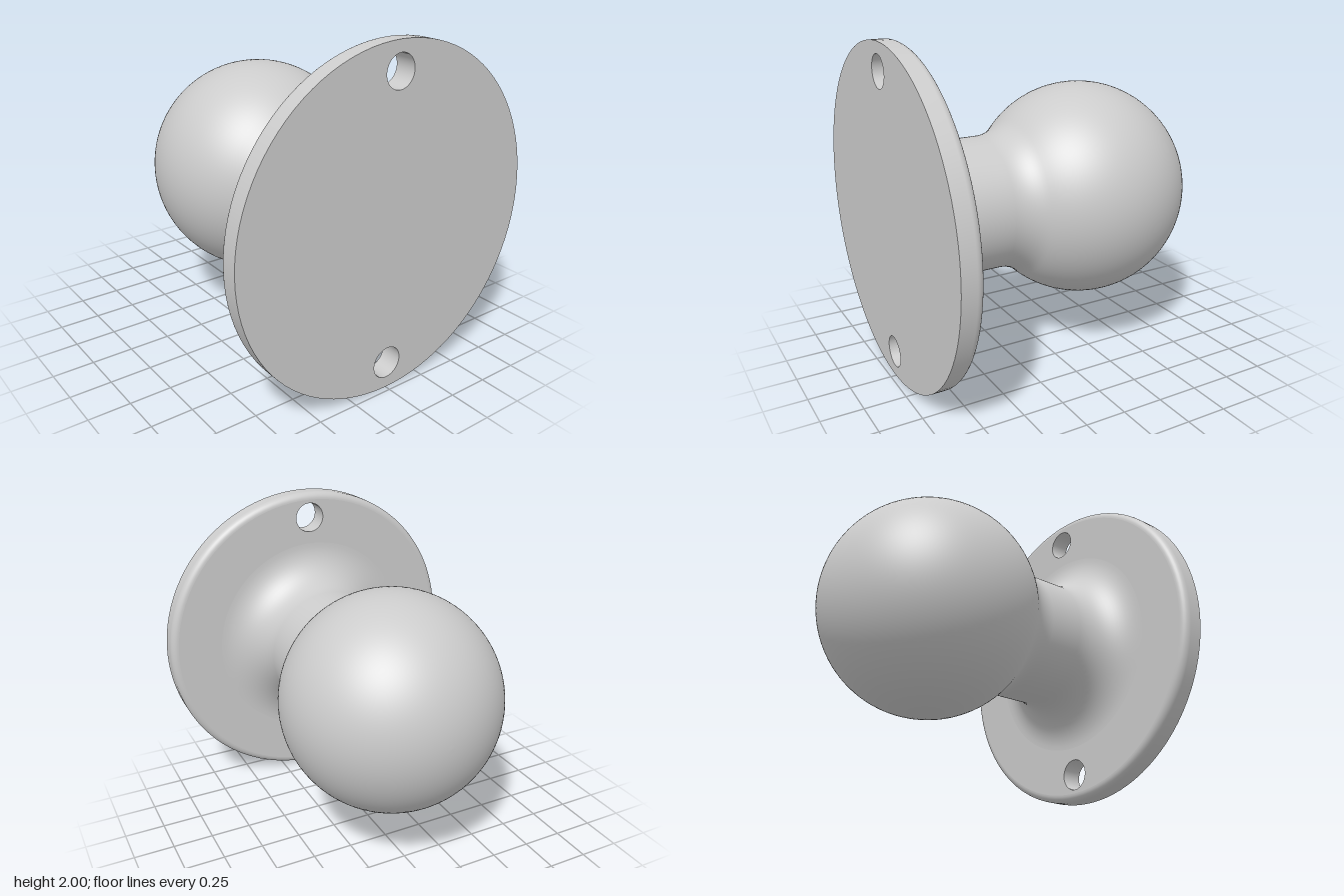
import * as THREE from 'three';

const SEGMENTS = 96;
const FRONT = 0.967, BACK = 0.835;   // mounting plate faces along z
const BALL_Z = -0.302, BALL_R = 0.665;
const NECK_R = 0.4, FILLET = 0.265;
const EDGE = 0.045;                  // rounding of the plate's back edge
const HOLE_R = 0.095, HOLE_Y = 0.838;

// Points along an arc in (radius, z); angles are measured from the +radius axis.
function arc(r, z, size, from, to, steps) {
  return Array.from({ length: steps + 1 }, (_, i) => {
    const a = from + (to - from) * i / steps;
    return new THREE.Vector2(Math.max(0, r + size * Math.cos(a)), z + size * Math.sin(a));
  });
}

// Turned part around the z axis.
function turned(points, segments = SEGMENTS) {
  return new THREE.LatheGeometry(points, segments).rotateX(Math.PI / 2);
}

// Flat disc with the two screw holes, and optionally a centre opening.
function plateFace(radius, opening) {
  const shape = new THREE.Shape().absarc(0, 0, radius, 0, Math.PI * 2);
  const cut = (y, r) => shape.holes.push(new THREE.Path().absarc(0, y, r, 0, Math.PI * 2, true));
  for (const s of [-1, 1]) cut(s * HOLE_Y, HOLE_R);
  if (opening) cut(0, opening);
  return new THREE.ShapeGeometry(shape, SEGMENTS / 2);
}

export function createModel() {
  const model = new THREE.Group();
  model.name = 'doorKnob';
  const body = new THREE.Group();
  body.position.y = 1;
  model.add(body);
  const material = new THREE.MeshStandardMaterial({ color: 0xcccccc });
  const add = (name, geometry) => {
    const mesh = new THREE.Mesh(geometry, material);
    mesh.name = name;
    body.add(mesh);
    return mesh;
  };

  // Ball, neck and flared foot as one continuous profile
  const filletR = NECK_R + FILLET;
  const join = Math.acos(filletR / (BALL_R + FILLET));
  const neckZ = BALL_Z + (BALL_R + FILLET) * Math.sin(join);
  add('knob', turned([
    ...arc(0, BALL_Z, BALL_R, -Math.PI / 2, join, 48),
    ...arc(filletR, neckZ, FILLET, Math.PI + join, Math.PI, 10).slice(1),
    ...arc(filletR, BACK - FILLET, FILLET, Math.PI, Math.PI / 2, 16),
  ]));

  // Mounting plate: two faces and a rim rounded toward the knob
  add('plateFront', plateFace(1)).position.z = FRONT;
  add('plateBack', plateFace(1 - EDGE, filletR).rotateY(Math.PI)).position.z = BACK;
  add('plateRim', turned([
    ...arc(1 - EDGE, BACK + EDGE, EDGE, -Math.PI / 2, 0, 8),
    new THREE.Vector2(1, FRONT),
  ]));

  // Screw hole walls, facing inward
  for (const s of [-1, 1]) {
    const wall = turned([new THREE.Vector2(HOLE_R, FRONT), new THREE.Vector2(HOLE_R, BACK)]);
    add(s > 0 ? 'upperScrewHole' : 'lowerScrewHole', wall).position.y = s * HOLE_Y;
  }
  return model;
}
